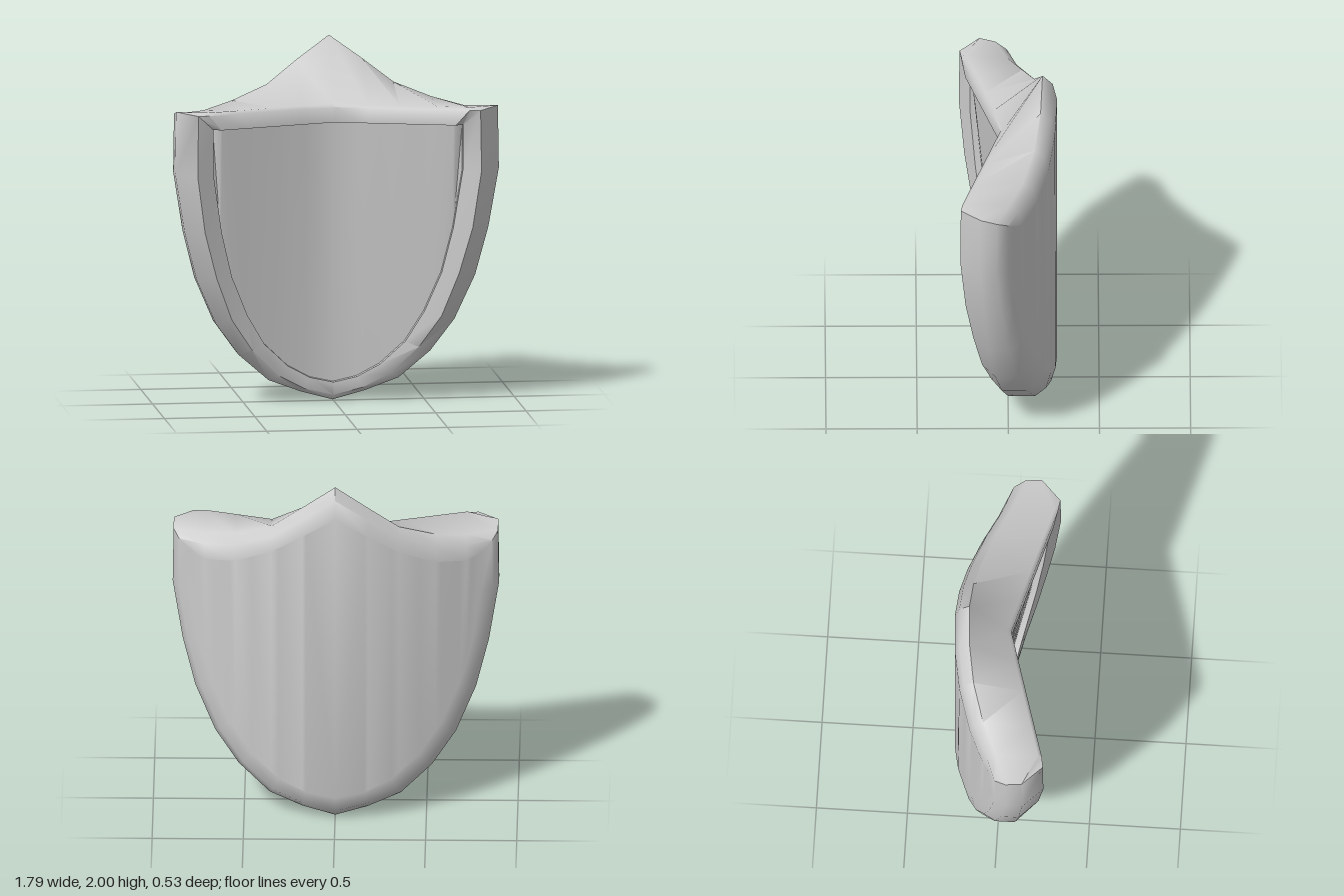
import * as THREE from 'three';
import { toCreasedNormals } from 'three/addons/utils/BufferGeometryUtils.js';

// Half outlines [x, y], from the bottom point up to the top corner
const OUTER = [[0, 0], [.18, .05], [.36, .12], [.53, .27], [.66, .45], [.77, .7], [.84, .97], [.895, 1.3], [.89, 1.645]];
const FRONT = [[0, .03], [.16, .07], [.31, .15], [.46, .3], [.58, .48], [.67, .72], [.74, .98], [.785, 1.3], [.78, 1.635]];
const PANEL = [[0, .1], [.13, .13], [.255, .2], [.39, .33], [.49, .5], [.58, .72], [.64, .97], [.69, 1.3], [.691, 1.55]];
const BACK = [[0, .14], [.16, .17], [.31, .24], [.46, .37], [.58, .54], [.68, .76], [.75, 1], [.8, 1.3], [.801, 1.53]];
// Top edge, from the corner to the centre: x, ridge height, back rim height
const TOP = [[.72, 1.625, 1.5], [.55, 1.665, 1.53], [.35, 1.74, 1.62], [.18, 1.87, 1.73], [0, 2, 1.84]];

const bend = (base, k) => x => base + k * x * x;
const vee = x => .04 + .295 * x;

// Half section: curved sides followed by the top edge
function section(outline, zSide, top) {
  return [...outline.map(([x, y]) => [x, y, zSide(x)]), ...TOP.map(top)];
}

// Closed loop, counterclockwise from the front
function closeLoop(half) {
  const mirrored = half.slice(1, -1).reverse().map(([x, y, z]) => [-x, y, z]);
  return [...half, ...mirrored];
}

function strip(out, P, Q) {
  const p = closeLoop(P), q = closeLoop(Q);
  for (let i = 0; i < p.length; i++) {
    const j = (i + 1) % p.length;
    out.push(p[i], q[i], q[j], p[i], q[j], p[j]);
  }
}

// Point at x on a run of points sorted by x
function at(run, x) {
  for (let i = 1; i < run.length; i++) {
    const a = run[i - 1], b = run[i];
    if (x <= b[0] + 1e-6) {
      const t = (x - a[0]) / (b[0] - a[0]);
      return [x, a[1] + t * (b[1] - a[1]), a[2] + t * (b[2] - a[2])];
    }
  }
  return run[run.length - 1];
}

// Fills a section with upright strips, mirrored about the centre
function fill(out, half, facing) {
  const low = half.slice(0, 9), high = half.slice(8).reverse();
  const xs = [...new Set(half.map(p => p[0]))].sort((a, b) => a - b);
  for (const side of [1, -1]) {
    for (let i = 1; i < xs.length; i++) {
      const [b0, b1, t0, t1] = [at(low, xs[i - 1]), at(low, xs[i]), at(high, xs[i - 1]), at(high, xs[i])]
        .map(([x, y, z]) => [x * side, y, z]);
      if (side * facing > 0) out.push(b0, b1, t1, b0, t1, t0);
      else out.push(b0, t1, b1, b0, t0, t1);
    }
  }
}

function makeMesh(name, corners) {
  // Drop zero-area triangles
  const pts = [];
  for (let i = 0; i < corners.length; i += 3) {
    const [a, b, c] = corners.slice(i, i + 3).map(p => new THREE.Vector3(...p));
    if (new THREE.Triangle(a, b, c).getArea() > 1e-7) pts.push(a, b, c);
  }
  const geometry = toCreasedNormals(new THREE.BufferGeometry().setFromPoints(pts), 0.95);
  const mesh = new THREE.Mesh(geometry, new THREE.MeshStandardMaterial({ color: 0xcccccc }));
  mesh.name = name;
  return mesh;
}

export function createModel() {
  const group = new THREE.Group();
  group.name = 'shield';

  const frontZ = bend(0, .43);
  const inner = section(PANEL, frontZ, ([x]) => [x * .9, 1.55, vee(x * .9)]);
  const recessed = inner.map(([x, y, z]) => [x, y, z - .035]);
  const front = section(FRONT, frontZ, ([x]) => [x, 1.635, vee(x)]);
  const outerFront = section(OUTER, bend(-.03, .23), ([x]) => [x, 1.65, vee(x) - .02]);
  const ridge = section(OUTER, bend(-.19, .32), ([x, y]) => [x, y, -.19 + .36 * x * x]);
  ridge[8][1] = 1.62;
  const back = section(BACK, bend(-.27, .38), ([x, , y]) => [x, y, -.27 + .38 * x * x]);
  // Rounding between the ridge and the back face
  const outerBack = ridge.map((p, i) => [
    p[0] + .35 * (back[i][0] - p[0]),
    p[1] + .35 * (back[i][1] - p[1]),
    p[2] + .7 * (back[i][2] - p[2]),
  ]);

  // Thick rim and top crest
  const rim = [];
  const loops = [inner, front, outerFront, ridge, outerBack, back];
  for (let i = 1; i < loops.length; i++) strip(rim, loops[i - 1], loops[i]);
  // Curved back face, shaded together with the rim
  fill(rim, back, -1);
  group.add(makeMesh('rimAndBack', rim));

  // Recessed front panel with its surrounding step
  const panel = [];
  strip(panel, recessed, inner);
  fill(panel, recessed, 1);
  group.add(makeMesh('frontPanel', panel));

  return group;
}
